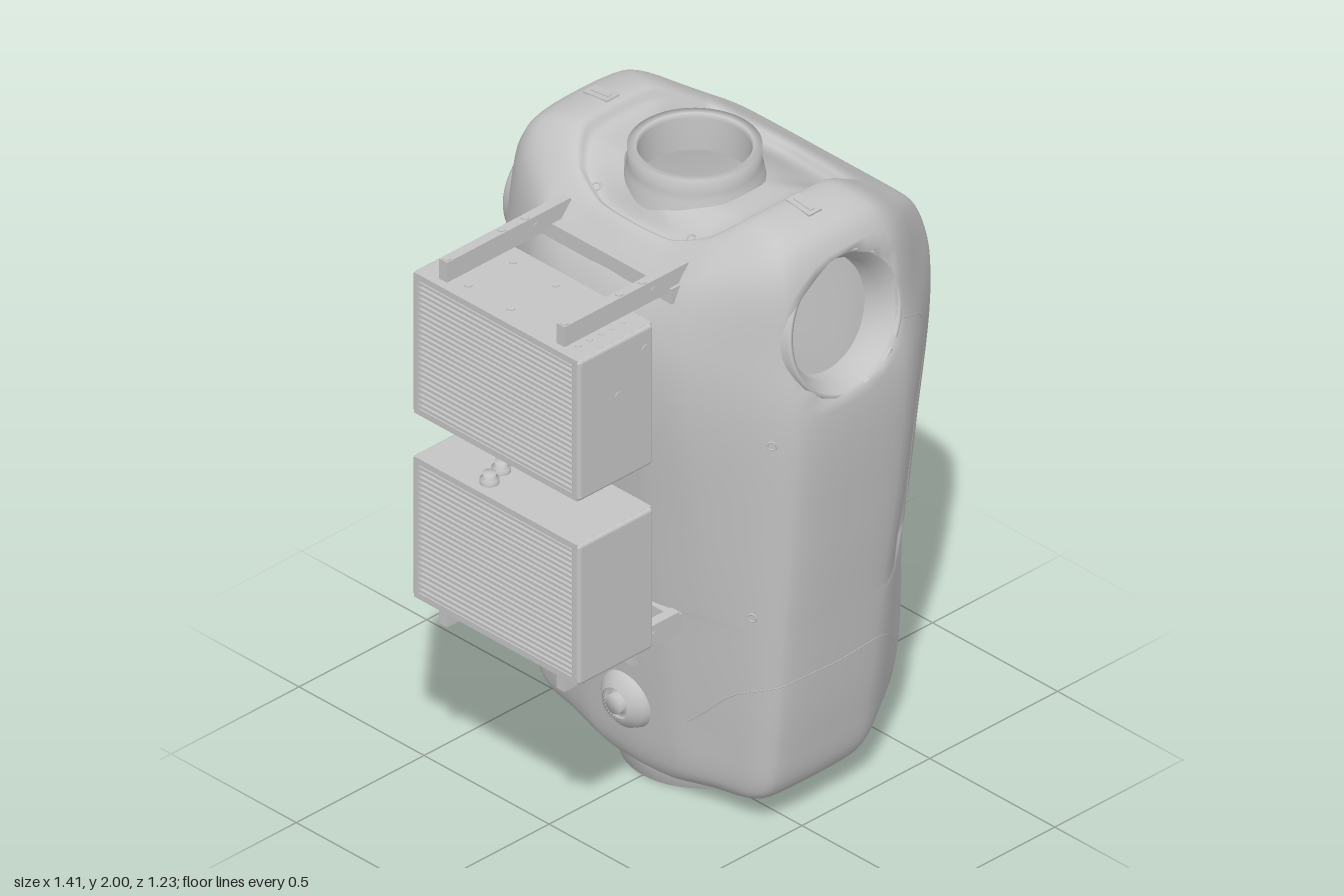
import * as THREE from 'three';
import { mergeGeometries } from 'three/addons/utils/BufferGeometryUtils.js';
import { RoundedBoxGeometry } from 'three/addons/geometries/RoundedBoxGeometry.js';

const shellGrey = new THREE.MeshStandardMaterial({ color: 0xc4c4c4, side: THREE.DoubleSide });
const V = (x, y, z) => new THREE.Vector3(x, y, z);
const SHOULDER = { x: 0.1, y: 1.655, z: 0.575, r: 0.2, tilt: 0.17 };

// Shell rings, bottom to top:
// y back, y side, y front, x back, x front, half width, chest half width, back half width,
// side flat from x, to x, chest panel lift
const LOWER = [
  [0.035, 0.035, 0.035, -0.13, 0.33, 0.24, 0.15, 0.13, 0, 0.2],
  [0.055, 0.07, 0.085, -0.15, 0.4, 0.4, 0.28, 0.25, -0.08, 0.25],
  [0.11, 0.12, 0.18, -0.172, 0.49, 0.465, 0.36, 0.32, -0.1, 0.27],
  [0.3, 0.3, 0.3, -0.2, 0.545, 0.508, 0.37, 0.32, -0.11, 0.28],
  [0.672, 0.672, 0.672, -0.245, 0.603, 0.552, 0.33, 0.31, -0.12, 0.3],
  [0.7, 0.7, 0.695, -0.249, 0.643, 0.555, 0.31, 0.31, -0.12, 0.3, 0.038],
  [1, 1, 1, -0.285, 0.67, 0.587, 0.325, 0.31, -0.12, 0.32, 0.025],
];
const UPPER = [
  [1.42, 1.42, 1.42, -0.337, 0.705, 0.617, 0.34, 0.3, -0.12, 0.33],
  [1.6, 1.62, 1.59, -0.332, 0.7, 0.588, 0.335, 0.3, -0.12, 0.33],
  [1.72, 1.865, 1.69, -0.29, 0.645, 0.548, 0.33, 0.3, -0.11, 0.32],
  [1.79, 1.942, 1.772, -0.24, 0.545, 0.495, 0.33, 0.3, -0.08, 0.29],
  [1.85, 1.97, 1.825, -0.18, 0.455, 0.35, 0.28, 0.27, -0.04, 0.25],
  [1.84, 1.935, 1.805, -0.16, 0.425, 0.315, 0.25, 0.24, -0.03, 0.23],
  [1.9, 1.925, 1.9, -0.125, 0.265, 0.2, 0.13, 0.13, -0.01, 0.15],
];

// Rounded closed outline of one ring, with tight corners
function ring([yb, ys, yf, xb, xf, w, c, b, xl, xr, lift = 0]) {
  const side = V(xr, ys, w), edge = V(xf - 0.04, yf + (ys - yf) * 0.2, c);
  const half = [V(xb, yb, 0), V(xb + 0.008, yb, b * 0.55), V(xb + 0.045, yb + (ys - yb) * 0.4, b),
    V(xl, ys, w), side, edge.clone().setX(edge.x - lift).lerp(side, 0.25), edge, V(xf, yf, 0)];
  let pts = [...half, ...half.slice(1, 7).reverse().map(p => V(p.x, p.y, -p.z))];
  for (const t of [0.15, 0.25, 0.25]) {
    pts = pts.flatMap((p, i) => {
      const q = pts[(i + 1) % pts.length];
      return [p.clone().lerp(q, t), p.clone().lerp(q, 1 - t)];
    });
  }
  return pts;
}

// Shell skin lofted through the rings, with two round shoulder openings
function shellGeometry() {
  const rings = [...LOWER, ...UPPER].map(ring);
  const n = rings[0].length, rows = (rings.length - 1) * 7;
  const curves = rings[0].map((_, i) => new THREE.CatmullRomCurve3(rings.map(r => r[i])));
  const pos = [], inside = [], idx = [];
  for (let r = 0; r <= rows; r++) for (let i = 0; i < n; i++) {
    const p = curves[i].getPoint(r / rows);
    const dx = p.x - SHOULDER.x, dy = p.y - SHOULDER.y, d = Math.hypot(dx, dy) || 1e-6;
    const cut = d < SHOULDER.r && Math.abs(p.z) > 0.38;
    if (cut) {
      p.x = SHOULDER.x + dx / d * SHOULDER.r;
      p.y = SHOULDER.y + dy / d * SHOULDER.r;
      const lid = SHOULDER.z - 0.01 - (p.y - SHOULDER.y) * Math.tan(SHOULDER.tilt);
      p.z = Math.sign(p.z) * Math.min(Math.abs(p.z), lid);
    }
    inside.push(cut);
    pos.push(p.x, p.y, p.z);
  }
  const tri = (a, b, c) => { if (!(inside[a] && inside[b] && inside[c])) idx.push(a, b, c); };
  for (let r = 0; r < rows; r++) for (let i = 0; i < n; i++) {
    const j = (i + 1) % n, a = r * n + i, b = r * n + j;
    tri(a, b, b + n);
    tri(a, b + n, a + n);
  }
  const g = new THREE.BufferGeometry();
  g.setAttribute('position', new THREE.Float32BufferAttribute(pos, 3));
  g.setIndex(idx);
  g.computeVertexNormals();
  return g;
}

function pill(w, h) {
  const s = new THREE.Shape(), r = h / 2, a = w / 2 - r;
  s.absarc(a, 0, r, -Math.PI / 2, Math.PI / 2, false);
  s.absarc(-a, 0, r, Math.PI / 2, Math.PI * 1.5, false);
  return s;
}

export function createModel() {
  const model = new THREE.Group();
  const add = (name, geo, x = 0, y = 0, z = 0, parent = model) => {
    const m = new THREE.Mesh(geo, shellGrey);
    m.name = name;
    m.position.set(x, y, z);
    parent.add(m);
    return m;
  };
  const box = (name, x0, x1, y0, y1, z0, z1, parent) =>
    add(name, new THREE.BoxGeometry(x1 - x0, y1 - y0, z1 - z0), (x0 + x1) / 2, (y0 + y1) / 2, (z0 + z1) / 2, parent);
  const lathe = (pts, seg = 56) => new THREE.LatheGeometry(pts.map(p => new THREE.Vector2(...p)), seg);

  const shell = add('torsoShell', shellGeometry());
  shell.updateMatrixWorld();

  // Finds the shell surface from outside along a direction
  const caster = new THREE.Raycaster();
  const hit = (from, dir) => {
    caster.set(from, dir);
    const h = caster.intersectObject(shell)[0];
    if (!h) return null;
    const normal = h.face.normal.clone();
    if (normal.dot(dir) > 0) normal.negate();
    return { point: h.point, normal };
  };
  const onSide = (x, y, s) => hit(V(x, y, 2 * s), V(0, 0, -s));
  const onTop = (x, z) => hit(V(x, 3, z), V(0, -1, 0));
  const onChest = (y, z) => hit(V(2, y, z), V(-1, 0, 0));
  const onBack = (y, z) => hit(V(-2, y, z), V(1, 0, 0));
  const stick = (geo, h, lift = 0.002) => {
    const q = new THREE.Quaternion().setFromUnitVectors(V(0, 0, 1), h.normal);
    const p = h.point.clone().addScaledVector(h.normal, lift);
    return geo.applyMatrix4(new THREE.Matrix4().compose(p, q, V(1, 1, 1)));
  };
  const scatter = (name, hits, make) => {
    const geos = hits.filter(Boolean).map(h => stick(make(), h));
    if (geos.length) add(name, mergeGeometries(geos));
  };
  const seam = (name, hits) => {
    const pts = hits.filter(Boolean).map(h => h.point);
    if (pts.length > 2) add(name, new THREE.TubeGeometry(new THREE.CatmullRomCurve3(pts), 80, 0.002, 4));
  };

  // Neck and waist collars
  add('neckCollar', lathe([[0.205, 1.87], [0.195, 1.93], [0.188, 1.95], [0.19, 2], [0.165, 2], [0.16, 1.985], [0.16, 1.88]]), 0.07);
  add('waistCollar', lathe([[0.2, 0.1], [0.2, 0], [0.234, 0], [0.234, 0.07]]), 0.1);

  // Shoulder sockets
  for (const s of [1, -1]) {
    const socket = add('shoulderSocket', lathe([[0.236, -0.09], [0.222, -0.008], [0.216, 0], [0.206, 0], [0.178, -0.05], [0.175, -0.11]]),
      SHOULDER.x, SHOULDER.y, s * SHOULDER.z);
    socket.rotation.x = s * (Math.PI / 2 - SHOULDER.tilt);
  }

  // Vent dots on both sides and the back
  const vents = [], screws = [], backVents = [];
  for (const s of [1, -1]) {
    for (const cx of [0.0, 0.193]) for (let i = 0; i < 10; i++) for (let j = 0; j < 10; j++)
      vents.push(onSide(cx + (i - 4.5) * 0.0165, 1.215 + (j - 4.5) * 0.0175, s));
    for (const y of [1.345, 0.74]) screws.push(onSide(-0.155, y, s));
    for (let i = 0; i < 6; i++) for (let j = 0; j < 8; j++)
      backVents.push(onBack(1.2 + j * 0.017, s * (0.1 + i * 0.017)));
    screws.push(onTop(-0.13, s * 0.19));
  }
  scatter('sideVents', vents, () => new THREE.CircleGeometry(0.005, 8));
  scatter('backVents', backVents, () => new THREE.CircleGeometry(0.005, 8));
  scatter('shellScrews', screws, () => new THREE.TorusGeometry(0.013, 0.003, 6, 16));
  scatter('neckRivets', [-0.19, -0.065, 0.065, 0.19].map(z => onTop(0.36, z)), () => new THREE.CircleGeometry(0.006, 10));

  // Shoulder latches, almost flush
  for (const s of [1, -1]) {
    const h = onTop(0.1, s * 0.405);
    if (!h) continue;
    add('latchPlate', stick(new THREE.BoxGeometry(0.05, 0.095, 0.006), h, 0));
    add('latchBar', stick(new THREE.BoxGeometry(0.016, 0.07, 0.006), h, 0.003));
  }

  // Panel seams
  const path = (pts, n) => new THREE.CatmullRomCurve3(pts.map(p => V(p[0], p[1], 0)), false, 'centripetal').getSpacedPoints(n);
  for (const s of [1, -1]) {
    seam('chestPanelSeam', path([[0.32, 1.58], [0.45, 1.5], [0.53, 1.32], [0.55, 1.05], [0.575, 0.71]], 40).map(p => onSide(p.x, p.y, s)));
    seam('hipPanelSeam', path([[-0.18, 0.3], [-0.14, 0.48], [-0.08, 0.513], [0.1, 0.515], [0.29, 0.51], [0.4, 0.42], [0.48, 0.32]], 50).map(p => onSide(p.x, p.y, s)));
  }
  seam('waistPanelSeam', path([[-0.37, 0.29], [-0.25, 0.27], [0, 0.265], [0.25, 0.27], [0.37, 0.29]], 30).map(p => onChest(p.y, p.x)));

  // Grab handle in the lower chest
  const handle = new THREE.Group();
  handle.name = 'grabHandle';
  handle.position.copy(onChest(0.365, 0).point);
  handle.rotation.set(0, Math.PI / 2, 0);
  handle.rotateX(0.16);
  model.add(handle);
  const rim = pill(0.436, 0.096);
  rim.holes.push(pill(0.42, 0.08));
  add('handleRim', new THREE.ExtrudeGeometry(rim, { depth: 0.026, bevelEnabled: false, curveSegments: 16 }), 0, 0, -0.022, handle);
  add('handleRecess', new THREE.ShapeGeometry(pill(0.425, 0.085), 16), 0, 0, 0.001, handle);
  add('handleBoss', new THREE.SphereGeometry(0.07, 24, 8, 0, Math.PI * 2, 0, Math.PI / 2).scale(1, 0.75, 0.08), 0, -0.04, 0.001, handle);

  // Rear button and port
  const button = add('rearButton', lathe([[0.095, 0], [0.085, 0.03], [0.05, 0.06], [0.05, 0.045], [0.03, 0.045], [0.03, 0.065], [0, 0.065]], 32), -0.185, 0.285, 0);
  button.rotation.z = Math.PI / 2;
  box('rearPort', -0.23, -0.21, 0.43, 0.49, -0.06, 0.06);

  // Two finned power packs; the lower is the upper turned end for end
  for (const [name, y0, y1, s] of [['upperPack', 1.31, 1.775, 1], ['lowerPack', 0.7, 1.165, -1]]) {
    const pack = new THREE.Group(), mid = (y0 + y1) / 2;
    pack.name = name;
    model.add(pack);
    box('packCore', -0.69, -0.437, y0 + 0.01, y1 - 0.01, -0.31, 0.31, pack);
    box('packTop', -0.71, -0.417, y1 - 0.02, y1, -0.325, 0.325, pack);
    box('packBase', -0.71, -0.417, y0, y0 + 0.02, -0.325, 0.325, pack);
    const fins = 24, step = (y1 - y0 - 0.04) / fins;
    for (let i = 0; i < fins; i++) {
      const y = y0 + 0.02 + (i + 0.5) * step;
      box('coolingFin', -0.71, -0.417, y - step * 0.27, y + step * 0.27, -0.315, 0.315, pack);
    }
    for (const end of [1, -1])
      add('endCap', new RoundedBoxGeometry(0.293, y1 - y0, 0.035, 3, 0.012), -0.5635, mid, end * 0.317, pack);
    for (const [x, dy] of [[-0.45, 0.163], [-0.555, 0.053]])
      add('capScrew', new THREE.CylinderGeometry(0.015, 0.015, 0.004, 16).rotateX(Math.PI / 2), x, mid + s * dy, s * 0.335, pack);
    for (const x of [-0.65, -0.475]) for (const z of [-0.17, 0])
      add('faceScrew', new THREE.CylinderGeometry(0.012, 0.012, 0.006, 12), x, s > 0 ? y1 : y0, z, pack);
    for (const x of [-0.65, -0.605, -0.56, -0.52, -0.475]) for (const z of [-0.277, 0.27])
      add('faceRivet', new THREE.CylinderGeometry(0.009, 0.009, 0.004, 12), x, s > 0 ? y1 : y0, z, pack);
  }

  // Connectors between the packs
  for (const [x, z] of [[-0.505, -0.22], [-0.59, -0.1], [-0.655, -0.08]]) {
    add('lowerPlug', lathe([[0.028, 1.165], [0.028, 1.18], [0.019, 1.185], [0.019, 1.2], [0, 1.2]], 16), x, 0, z);
    add('upperPlug', lathe([[0, 1.278], [0.019, 1.278], [0.019, 1.29], [0.028, 1.295], [0.028, 1.31]], 16), x, 0, z);
  }
  add('linkCable', new THREE.CylinderGeometry(0.013, 0.013, 0.1, 12), -0.505, 1.24, -0.22);
  for (const y of [1.215, 1.26]) add('linkJoint', new THREE.SphereGeometry(0.024, 16, 10), -0.505, y, -0.22);

  // Mounting rails with bolts and cross bars
  for (const s of [1, -1]) for (const [y0, y1, xEnd] of [[1.777, 1.843, -0.2], [0.634, 0.7, -0.235]]) {
    const z = s * 0.235;
    box('mountRail', -0.685, xEnd, y0, y1, z - 0.016, z + 0.016);
    for (const x of [-0.67, -0.455, -0.365])
      add('railBolt', new THREE.CylinderGeometry(0.012, 0.012, 0.006, 12), x, y1, z);
    add('railPin', new THREE.CylinderGeometry(0.012, 0.012, 0.036, 14).rotateX(Math.PI / 2), -0.335, (y0 + y1) / 2, z);
  }
  box('upperCrossBar', -0.275, -0.205, 1.74, 1.79, -0.26, 0.26);
  box('lowerCrossBar', -0.255, -0.225, 0.64, 0.69, -0.25, 0.25);

  return model;
}
